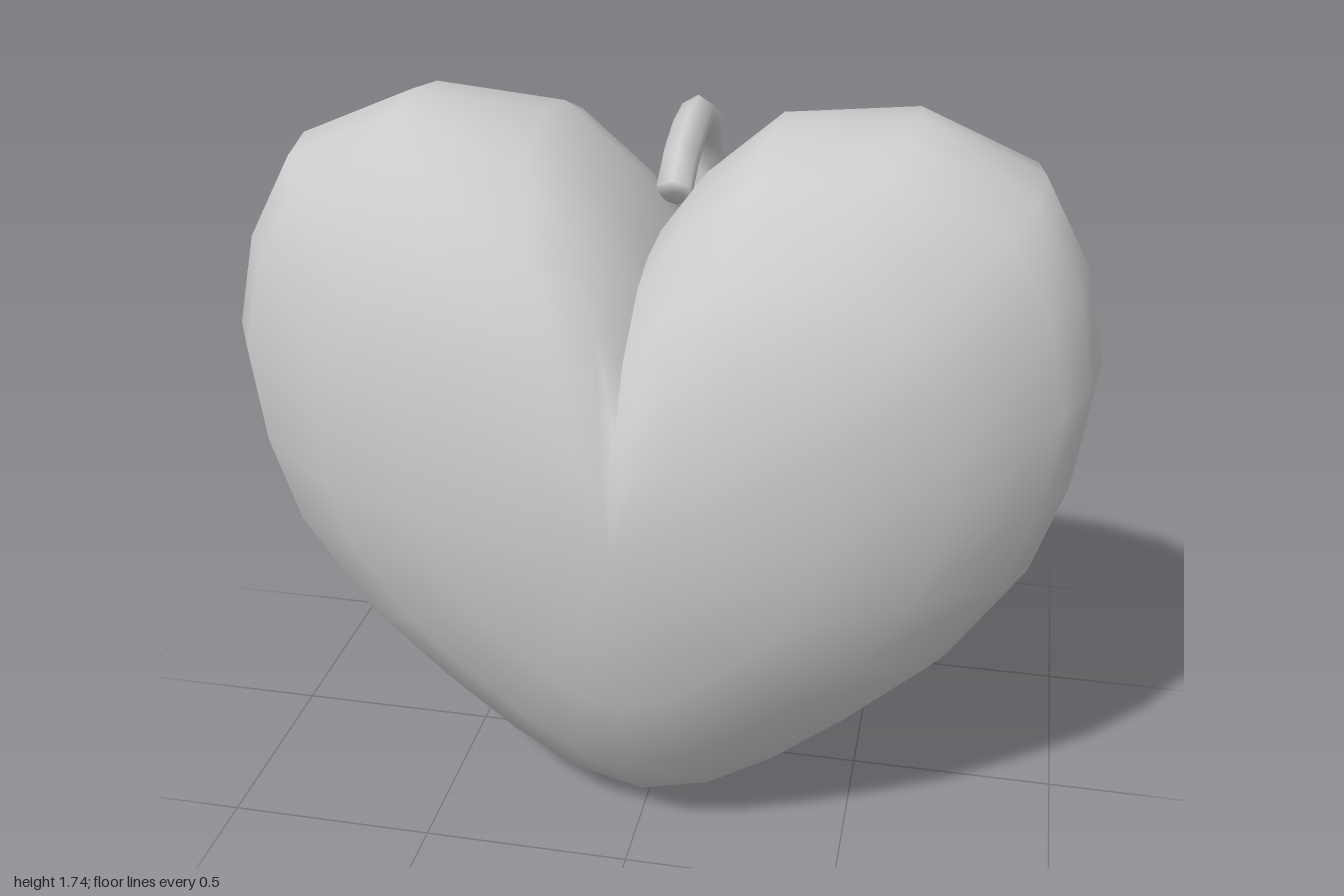
import * as THREE from 'three';
import { mergeVertices } from 'three/addons/utils/BufferGeometryUtils.js';

// Skin a list of cross-sections (rows of Vector3) into an indexed surface
function skin(rows) {
  const cols = rows[0].length;
  const index = [];
  for (let r = 0; r < rows.length - 1; r++) {
    for (let c = 0; c < cols - 1; c++) {
      const a = r * cols + c, b = a + 1, d = a + cols, e = d + 1;
      index.push(a, b, d, b, e, d);
    }
  }
  const geometry = new THREE.BufferGeometry().setFromPoints(rows.flat());
  geometry.setIndex(index);
  return geometry;
}

// Padded heart: the outline shrinks towards the middle as it bulges out
function heartGeometry() {
  const half = [
    [0, 1.45], [0.08, 1.56], [0.26, 1.715], [0.57, 1.745], [0.84, 1.63], [0.95, 1.43], [1, 1.21],
    [0.97, 0.96], [0.9, 0.74], [0.73, 0.485], [0.53, 0.3], [0.35, 0.155], [0.18, 0.05], [0, 0.005],
  ];
  const outline = [...half, ...half.slice(0, -1).reverse().map(([x, y]) => [-x, y])];
  // [outline scale, bulge]
  const levels = [[0, 0.545], [0.24, 0.535], [0.47, 0.49], [0.71, 0.41], [0.92, 0.25], [0.98, 0.14], [1, 0]];
  const rings = [...levels, ...levels.slice(0, -1).reverse().map(([s, z]) => [s, -z])];
  const midY = 0.9, midZ = 0.06;
  const geometry = skin(rings.map(([s, z]) =>
    outline.map(([x, y]) => new THREE.Vector3(x * s, midY + (y - midY) * s, midZ + z))));
  geometry.computeVertexNormals();

  // Keep the cleft sharp outside, but blend it away towards the middle
  const normal = geometry.attributes.normal;
  const cols = outline.length;
  const n = new THREE.Vector3();
  rings.forEach(([s, z], r) => {
    for (let c = 0; c < cols; c++) {
      const i = r * cols + c;
      if (s === 0) {
        normal.setXYZ(i, 0, 0, Math.sign(z));
      } else if (s < 0.7 && (c === 0 || c === cols - 1)) {
        n.fromBufferAttribute(normal, i).setX(0).normalize();
        normal.setXYZ(i, n.x, n.y, n.z);
      }
    }
  });
  return geometry;
}

// Six-sided hanging loop curving from the cleft to the back
function loopGeometry() {
  const path = [
    [1.49, -0.09], [1.55, -0.18], [1.585, -0.28], [1.597, -0.39], [1.55, -0.49],
    [1.46, -0.553], [1.36, -0.565], [1.25, -0.517], [1.18, -0.43], [1.16, -0.39],
  ].map(([y, z]) => new THREE.Vector3(0, y, z));
  const last = path.length - 1;
  const rows = path.map((p, i) => {
    const t = path[Math.min(i + 1, last)].clone().sub(path[Math.max(i - 1, 0)]).normalize();
    return Array.from({ length: 7 }, (_, k) => {
      const a = (k % 6) * Math.PI / 3;
      const out = 0.045 * Math.cos(a);
      return new THREE.Vector3(0.045 * Math.sin(a), p.y - t.z * out, p.z + t.y * out);
    });
  });
  // Closed ends
  rows.unshift(rows[0].map(() => path[0].clone()));
  rows.push(rows[0].map(() => path[last].clone()));
  const geometry = mergeVertices(skin(rows));
  geometry.computeVertexNormals();
  return geometry;
}

export function createModel() {
  const grey = new THREE.MeshStandardMaterial({ color: 0xcccccc });
  grey.name = 'light grey';

  const model = new THREE.Group();
  model.name = 'heartPendant';

  const heart = new THREE.Mesh(heartGeometry(), grey);
  heart.name = 'heart';
  const loop = new THREE.Mesh(loopGeometry(), grey);
  loop.name = 'hangingLoop';
  model.add(heart, loop);
  return model;
}
